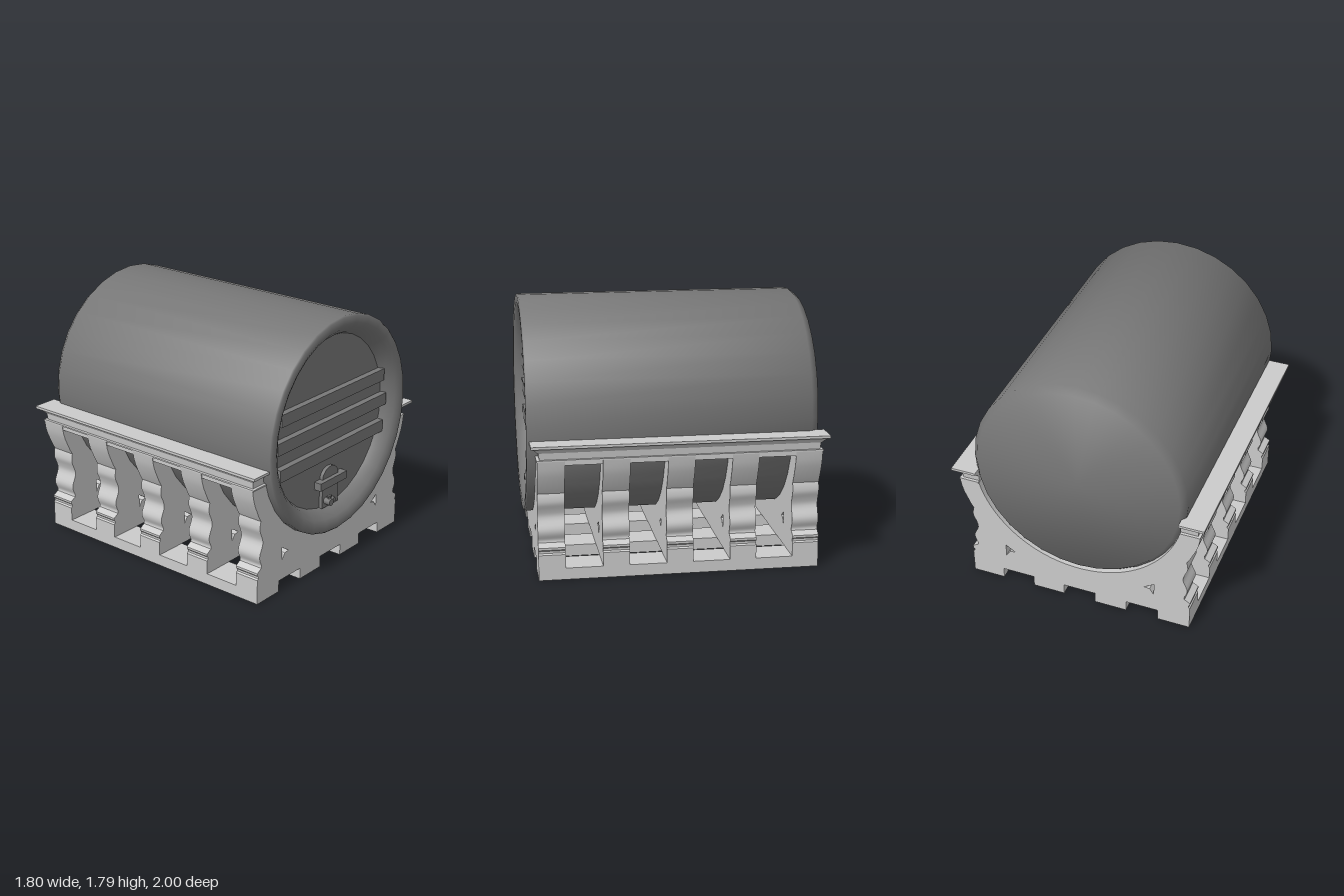
import * as THREE from 'three';
import { toCreasedNormals } from 'three/addons/utils/BufferGeometryUtils.js';

const CY = 1.03; // height of the barrel axis
const Z0 = -0.96, Z1 = 0.94; // cradle ends

export function createModel() {
  const model = new THREE.Group();
  const stone = new THREE.MeshStandardMaterial({ color: 0xcccccc, side: THREE.DoubleSide });
  const wood = new THREE.MeshStandardMaterial({ color: 0x787878, side: THREE.DoubleSide });

  const add = (name, geometry, material) => {
    const mesh = new THREE.Mesh(geometry, material);
    mesh.name = name;
    model.add(mesh);
    return mesh;
  };
  // Box given by its limits on each axis
  const block = (name, x0, x1, y0, y1, z0, z1, material) => {
    const g = new THREE.BoxGeometry(x1 - x0, y1 - y0, z1 - z0);
    g.translate((x0 + x1) / 2, (y0 + y1) / 2, (z0 + z1) / 2);
    return add(name, g, material);
  };

  // Barrel: closed back with a chamfer, rounded front rim and recessed lid
  const profile = [
    [0, -0.96], [0.72, -0.96], [0.76, -0.91], [0.76, 0.99], [0.75, 1],
    [0.7, 0.998], [0.67, 0.98], [0.63, 0.94], [0.61, 0.9], [0, 0.9],
  ].map(([r, z]) => new THREE.Vector2(r, z));
  const barrelGeo = new THREE.LatheGeometry(profile, 32).rotateX(Math.PI / 2);
  add('barrel', toCreasedNormals(barrelGeo, 0.9), wood).position.y = CY;

  // Three braces across the lid
  for (const [y, half] of [[0.835, 0.585], [1.03, 0.615], [1.218, 0.58]]) {
    block('lidBrace', -half, half, y - 0.043, y + 0.043, 0.88, 0.945, wood);
  }

  // Hatch with crossbar, arched top, tap and bolt
  block('hatchPanel', -0.09, 0.09, 0.425, 0.59, 0.88, 0.925, wood);
  block('hatchBar', -0.15, 0.15, 0.582, 0.638, 0.88, 0.955, wood);
  const arch = new THREE.CylinderGeometry(0.09, 0.09, 0.045, 20).rotateX(Math.PI / 2);
  arch.scale(1, 0.85, 1);
  add('hatchArch', arch, wood).position.set(0, 0.638, 0.9025);
  const tap = new THREE.CylinderGeometry(0.025, 0.025, 0.06, 12).rotateX(Math.PI / 2);
  add('tap', tap, wood).position.set(-0.05, 0.475, 0.945);
  add('tapStem', new THREE.CylinderGeometry(0.01, 0.01, 0.04, 8), wood).position.set(-0.05, 0.5, 0.955);
  block('tapHandle', -0.072, -0.028, 0.51, 0.52, 0.948, 0.962, wood);
  const bolt = new THREE.CylinderGeometry(0.022, 0.022, 0.03, 4).rotateX(Math.PI / 2);
  add('bolt', bolt, wood).position.set(0.025, 0.46, 0.93);

  // Cradle rib: baluster-shaped outer edge, arc under the barrel, two cut-outs
  const baluster = new THREE.SplineCurve([
    [0.77, 0.25], [0.768, 0.27], [0.785, 0.31], [0.785, 0.35], [0.756, 0.42],
    [0.765, 0.47], [0.785, 0.52], [0.785, 0.56], [0.778, 0.59],
  ].map(([x, y]) => new THREE.Vector2(x, y))).getPoints(24);
  const edge = [
    [0.81, 0.08], [0.81, 0.175], [0.8, 0.185], [0.8, 0.2], [0.81, 0.21], [0.81, 0.225], [0.79, 0.238],
    ...baluster.map((p) => [p.x, p.y]),
    [0.8, 0.63], [0.84, 0.72], [0.855, 0.77], [0.865, 0.83],
  ];
  const rib = new THREE.Shape();
  edge.forEach(([x, y], i) => (i ? rib.lineTo(x, y) : rib.moveTo(x, y)));
  const a = Math.asin(0.2 / 0.75);
  rib.absarc(0, CY, 0.75, -a, Math.PI + a, true);
  [...edge].reverse().forEach(([x, y]) => rib.lineTo(-x, y));
  rib.closePath();
  for (const s of [1, -1]) {
    rib.holes.push(new THREE.Path([
      [0.55, 0.315], [0.48, 0.27], [0.52, 0.265], [0.55, 0.22],
    ].map(([x, y]) => new THREE.Vector2(s * x, y))));
  }
  const ribGeo = toCreasedNormals(
    new THREE.ExtrudeGeometry(rib, { depth: 0.18, bevelEnabled: false, curveSegments: 24 }), 0.5);
  for (let i = 0; i < 5; i++) {
    add('cradleRib', ribGeo, stone).position.z = Z0 + i * 0.43;
  }

  // Hollow runners, open underneath, with a dark lining
  for (const x of [-0.695, -0.232, 0.232, 0.695]) {
    const l = x - 0.115, r = x + 0.115, t = 0.005;
    block('runnerTop', l, r, 0.076, 0.08, Z0, Z1, stone);
    block('runnerLining', l + t, r - t, 0.073, 0.076, Z0 + t, Z1 - t, wood);
    block('runnerSide', l, l + t, 0, 0.078, Z0, Z1, stone);
    block('runnerSide', r - t, r, 0, 0.078, Z0, Z1, stone);
    block('runnerEnd', l, r, 0, 0.078, Z0, Z0 + t, stone);
    block('runnerEnd', l, r, 0, 0.078, Z1 - t, Z1, stone);
  }

  // Moulded rails: straight tiers and one tier flared by widening its top
  const flare = (name, s, y0, y1, out0, out1) => {
    const g = new THREE.BoxGeometry(1, 1, 1);
    const p = g.attributes.position;
    for (let i = 0; i < p.count; i++) {
      const top = p.getY(i) > 0;
      const out = top ? out1 : out0;
      const outer = p.getX(i) * s > 0;
      p.setXYZ(i, s * (outer ? 0.86 + out : 0.725), top ? y1 : y0,
        p.getZ(i) > 0 ? Z1 + out : Z0 - out);
    }
    g.computeVertexNormals();
    add(name, g, stone);
  };
  for (const s of [1, -1]) {
    const [x0, x1] = s > 0 ? [0.725, 0.858] : [-0.858, -0.725];
    block('railBeam', x0, x1, 0.8, 0.83, Z0, Z1, stone);
    flare('railBead', s, 0.828, 0.838, 0.005, 0.005);
    flare('railNeck', s, 0.838, 0.885, -0.015, -0.01);
    flare('railCove', s, 0.885, 0.905, -0.005, 0.012);
    flare('railLip', s, 0.905, 0.922, 0.012, 0.036);
    flare('railCap', s, 0.922, 0.94, 0.042, 0.042);
  }
  return model;
}
